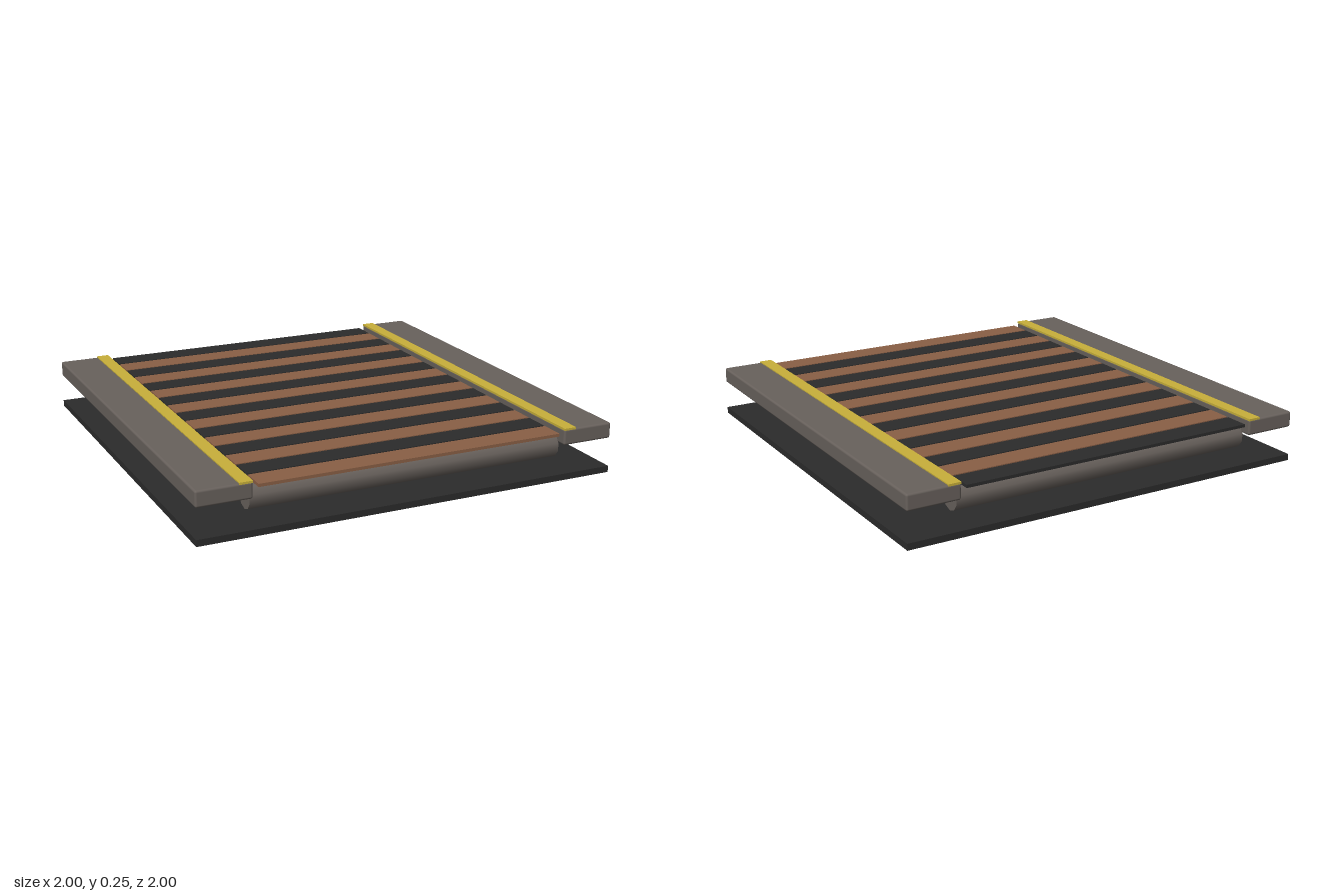
import * as THREE from 'three';
import { RoundedBoxGeometry } from 'three/addons/geometries/RoundedBoxGeometry.js';

export function createModel() {
  const model = new THREE.Group();
  model.name = 'rollerConveyor';

  const material = (name, color) => {
    const m = new THREE.MeshStandardMaterial({ color });
    m.name = name;
    return m;
  };
  const steel = material('warm grey steel', 0x68615c);
  const rubber = material('black rubber', 0x2b2b2b);
  const brown = material('brown belt', 0x8a5f45);
  const yellow = material('safety yellow', 0xc8b03a);

  const add = (name, geometry, mat, x, y, z) => {
    const mesh = new THREE.Mesh(geometry, mat);
    mesh.name = name;
    mesh.position.set(x, y, z);
    model.add(mesh);
    return mesh;
  };

  // Floor plate
  add('basePlate', new THREE.BoxGeometry(2, 0.03, 2), rubber, 0, 0.015, 0);

  // Side rails with softened edges, each with a yellow strip along its inner edge
  const railGeometry = new RoundedBoxGeometry(0.25, 0.075, 2, 2, 0.01);
  const stripGeometry = new THREE.BoxGeometry(0.06, 0.01, 2);
  for (const side of [-1, 1]) {
    const prefix = side > 0 ? 'left' : 'right';
    add(prefix + 'Rail', railGeometry, steel, side * 0.875, 0.2025, 0);
    add(prefix + 'SafetyStrip', stripGeometry, yellow, side * 0.78, 0.24, 0);
  }

  // Ten rollers across the bed, a vertex pointing straight down
  const rollerGeometry = new THREE.CylinderGeometry(0.06, 0.06, 1.5, 10);
  rollerGeometry.rotateY(Math.PI / 2);
  rollerGeometry.rotateZ(Math.PI / 2);
  for (let i = 0; i < 10; i++) {
    add('roller' + (i + 1), rollerGeometry, steel, 0, 0.145, -0.9 + i * 0.2);
  }

  // Belt slats, alternating black and brown from back to front
  const slatGeometry = new THREE.BoxGeometry(1.45, 0.014, 0.116);
  for (let i = 0; i < 16; i++) {
    add('slat' + (i + 1), slatGeometry, i % 2 ? brown : rubber, 0, 0.218, -0.94 + i * 0.1252);
  }

  return model;
}
